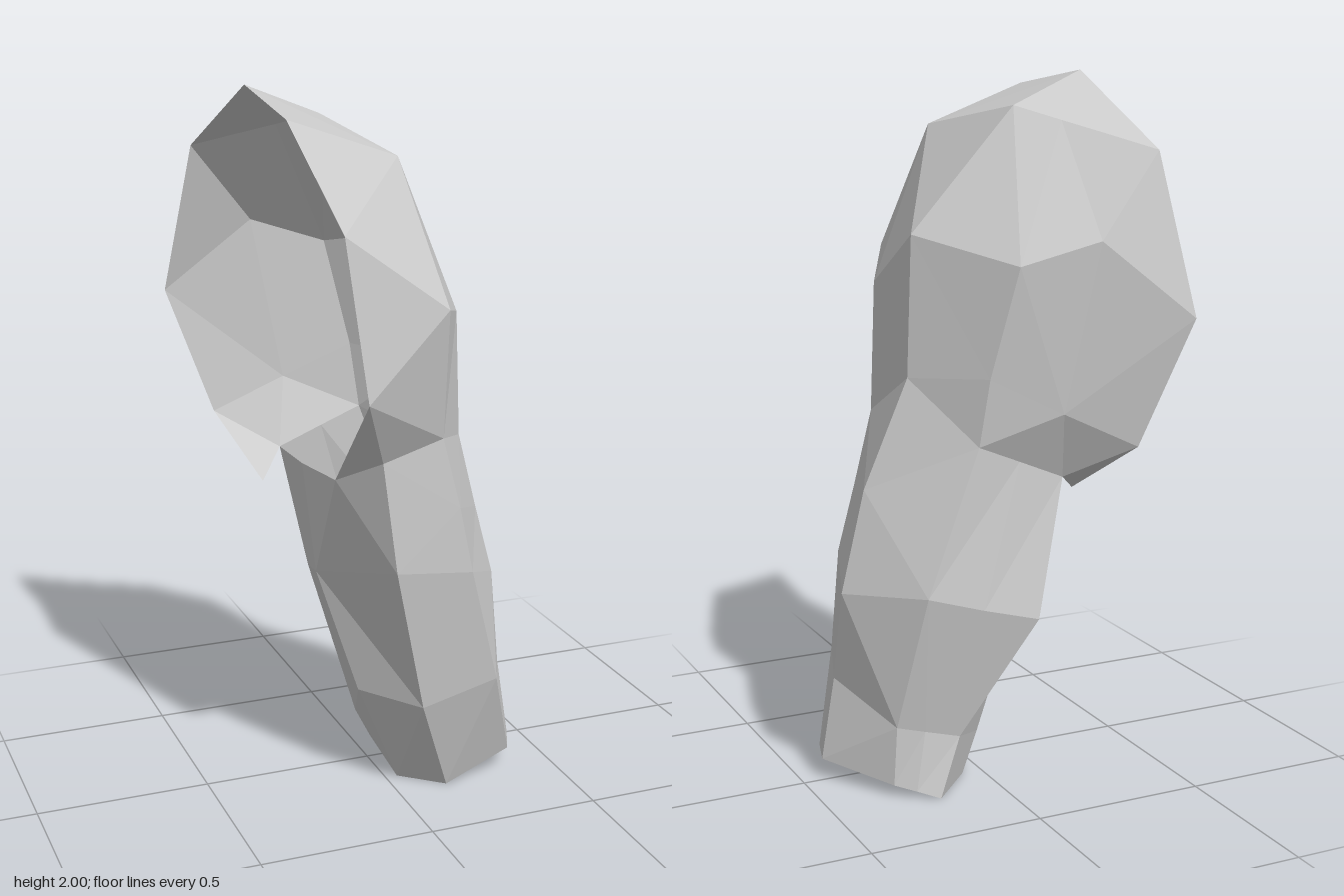
import * as THREE from 'three';

const material = new THREE.MeshStandardMaterial({ color: 0xcccccc, flatShading: true, side: THREE.DoubleSide });

// Corners of each ring run front -> +x side -> back -> -x side.
// Limb: open tube, rings from the lower opening to the neck
const limbRings = [
  [[.15, 0, .25], [.36, .065, .22], [.41, .062, .11], [.44, .06, .01], [.305, .035, -.2],
    [.25, .02, -.235], [.19, 0, -.265], [.06, 0, -.13], [.035, 0, .15]],
  [[.035, .3, .345], [.26, .355, .345], [.34, .33, .18], [.4, .3, .01], [.295, .205, -.2],
    [.22, .19, -.225], [.125, .17, -.25], [0, .11, -.1], [-.09, .3, .16]],
  [[-.07, .735, .405], [.155, .71, .4], [.31, .62, .19], [.41, .58, -.085], [.24, .6, -.295],
    [.09, .56, -.335], [-.06, .525, -.37], [-.13, .58, -.15], [-.18, .64, .06]],
  [[-.11, 1.05, .4], [.115, .9, .4], [.26, .82, .18], [.34, .87, -.085], [.09, 1.01, -.3],
    [-.03, .96, -.305], [-.16, .905, -.31], [-.18, .93, -.05], [-.19, .97, .25]],
];

// Shoulder: shell left open on the -x side, rows from front rim to back rim
const ridgeFront = [-.335, 1.95, .3], ridgeBack = [-.32, 2, -.09];
const shoulderRows = [
  [[-.11, 1.05, .4], [.065, 1.1, .395], [.21, 1.035, .17], [.22, 1.18, -.115], [.07, 1.2, -.325],
    [-.12, 1.1, -.39], [-.325, 1, -.435]],
  [[-.2, 1.25, .53], [.04, 1.47, .485], [.18, 1.4, .21], [.2, 1.57, -.1], [.01, 1.505, -.38],
    [-.195, 1.57, -.45], [-.44, 1.36, -.53]],
  [[-.25, 1.68, .49], [-.02, 1.84, .27], [-.02, 1.84, .27], [-.09, 1.91, -.135], [-.187, 1.873, -.23],
    [-.283, 1.837, -.325], [-.38, 1.8, -.42]],
  [ridgeFront, ridgeFront, ridgeFront, ridgeBack, ridgeBack, ridgeBack, ridgeBack],
];

// Skins successive rows, splitting each quad along its shorter diagonal
function loft(name, rows, closed) {
  const positions = [];
  const tri = (...corners) => {
    const [a, b, c] = corners.map((p) => new THREE.Vector3(...p));
    if (b.clone().sub(a).cross(c.clone().sub(a)).length() > 1e-6) {
      corners.forEach((p) => positions.push(...p));
    }
  };
  const gap = (p, q) => Math.hypot(p[0] - q[0], p[1] - q[1], p[2] - q[2]);
  const n = rows[0].length;
  for (let i = 0; i < rows.length - 1; i++) {
    for (let j = 0; j < (closed ? n : n - 1); j++) {
      const k = (j + 1) % n;
      const a = rows[i][j], b = rows[i][k], c = rows[i + 1][k], d = rows[i + 1][j];
      if (gap(a, c) < gap(b, d)) { tri(a, b, c); tri(a, c, d); }
      else { tri(a, b, d); tri(b, c, d); }
    }
  }
  const geometry = new THREE.BufferGeometry();
  geometry.setAttribute('position', new THREE.Float32BufferAttribute(positions, 3));
  geometry.computeVertexNormals();
  const mesh = new THREE.Mesh(geometry, material);
  mesh.name = name;
  return mesh;
}

export function createModel() {
  const group = new THREE.Group();
  group.name = 'upperArm';
  group.add(loft('limb', limbRings, true));

  // Front lip meets the limb's inner corner; back flap hangs down to a tip
  const neck = limbRings[3], innerCorner = neck[8], flapTip = [-.25, .84, -.2];
  const rows = shoulderRows.map((row) => [row[0], ...row, row[6]]);
  rows[0][0] = innerCorner;
  group.add(loft('shoulder', [[innerCorner, ...neck.slice(0, 7), flapTip], ...rows], false));
  return group;
}
